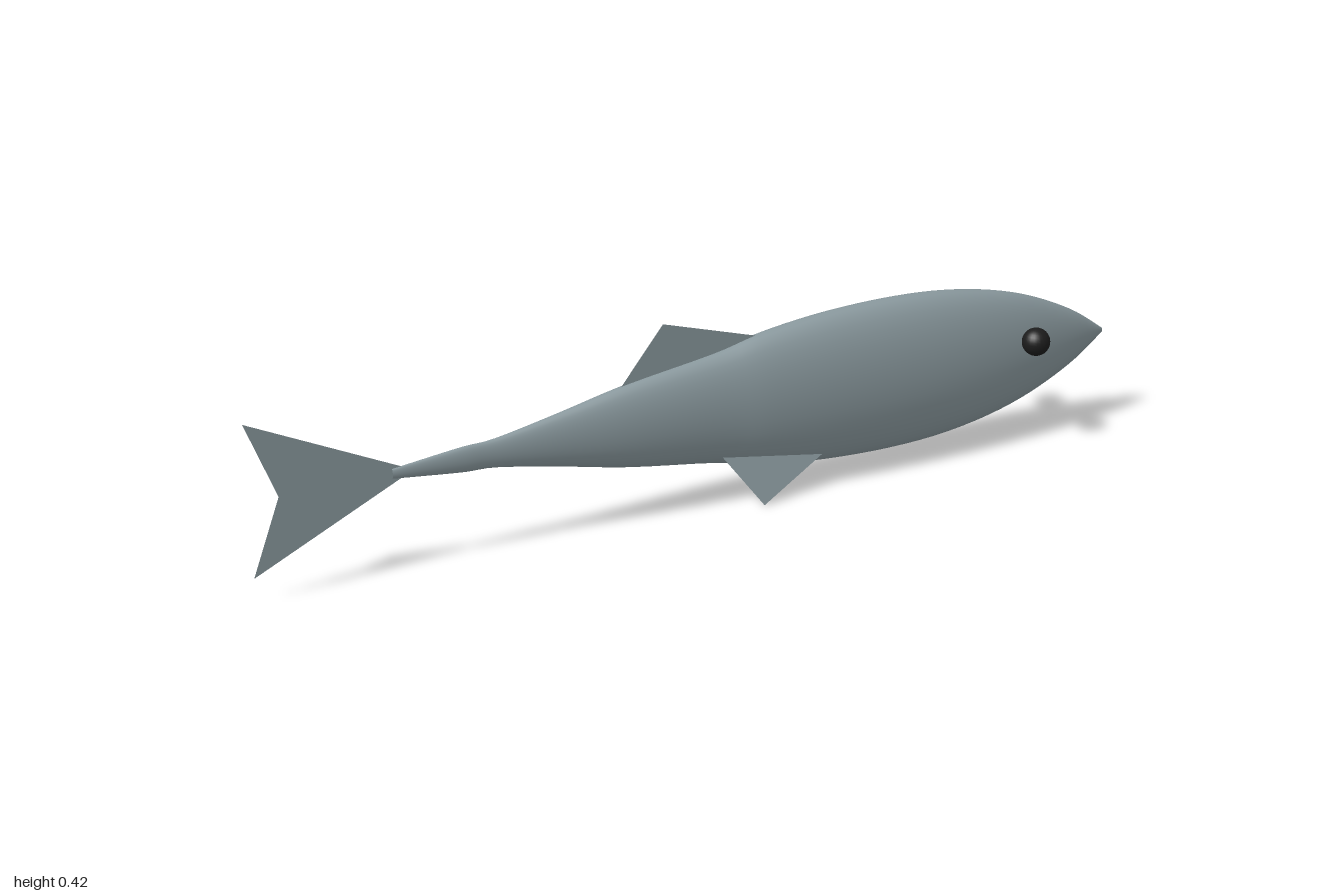
import * as THREE from 'three';

const MID_Y = 0.212;   // height of the body axis
const FLATTEN = 0.42;  // body width relative to height

// Thin single-sheet fin from an outline of [x, y, z] corners, fanned from the first
function fin(name, corners, material) {
  const geometry = new THREE.BufferGeometry();
  geometry.setAttribute('position', new THREE.Float32BufferAttribute(corners.flat(), 3));
  const index = [];
  for (let i = 1; i < corners.length - 1; i++) index.push(0, i, i + 1);
  geometry.setIndex(index);
  geometry.computeVertexNormals();
  const mesh = new THREE.Mesh(geometry, material);
  mesh.name = name;
  return mesh;
}

export function createModel() {
  const fish = new THREE.Group();
  fish.name = 'fish';

  const skin = new THREE.MeshStandardMaterial({ color: 0x8a999e, side: THREE.DoubleSide });
  skin.name = 'silver grey skin';
  const black = new THREE.MeshStandardMaterial({ color: 0x1c1c1c });
  black.name = 'eye black';

  // Body: half-height along the axis from tail root to nose, lathed and flattened
  const profile = [
    [0.01, -0.71], [0.016, -0.66], [0.027, -0.56], [0.031, -0.49], [0.058, -0.35],
    [0.09, -0.2], [0.121, 0], [0.144, 0.1], [0.159, 0.2], [0.168, 0.3], [0.172, 0.42],
    [0.168, 0.54], [0.154, 0.65], [0.131, 0.75], [0.098, 0.84], [0.056, 0.925], [0.005, 1],
  ].map(([r, x]) => new THREE.Vector2(r, x));
  const outline = new THREE.SplineCurve(profile).getPoints(64);
  const bodyGeometry = new THREE.LatheGeometry(outline, 32);
  bodyGeometry.rotateZ(-Math.PI / 2);
  bodyGeometry.scale(1, 1, FLATTEN);
  const body = new THREE.Mesh(bodyGeometry, skin);
  body.name = 'body';
  body.position.y = MID_Y;
  fish.add(body);

  // Forked tail, fanned from the notch
  fish.add(fin('tailFin', [
    [-0.94, 0.212, 0], [-1, 0.053, 0], [-0.69, 0.2, 0], [-0.69, 0.224, 0], [-1, 0.372, 0],
  ], skin));

  // Back fin, with its base sunk into the body
  fish.add(fin('dorsalFin', [
    [-0.215, 0.295, 0], [0.1, 0.33, 0], [0.1, 0.356, 0], [-0.115, 0.418, 0],
  ], skin));

  // Single side fin splayed out below the near flank
  fish.add(fin('pectoralFin', [
    [0.005, 0.113, 0.034], [0.085, 0.002, 0.071], [0.24, 0.078, 0.045],
  ], skin));

  // Eyes
  for (const side of [1, -1]) {
    const eye = new THREE.Mesh(new THREE.SphereGeometry(0.031, 24, 16), black);
    eye.name = side > 0 ? 'frontEye' : 'backEye';
    eye.position.set(0.757, 0.253, side * 0.083);
    fish.add(eye);
  }

  return fish;
}
